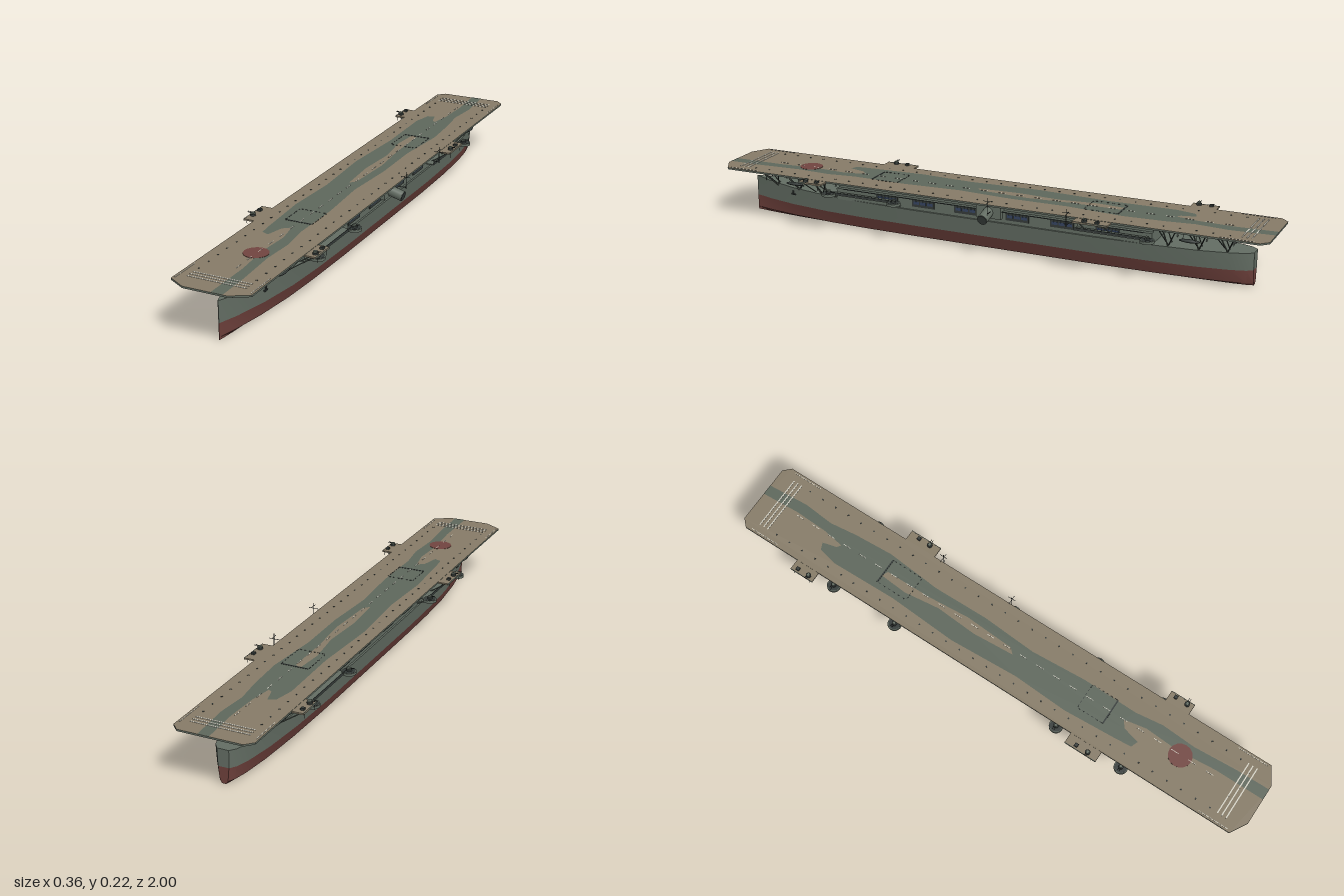
import * as THREE from 'three';
import { toCreasedNormals } from 'three/addons/utils/BufferGeometryUtils.js';

const mat = (name, color, side = THREE.FrontSide) => {
  const m = new THREE.MeshStandardMaterial({ color, side });
  m.name = name;
  return m;
};

export function createModel() {
  const root = new THREE.Group();
  root.name = 'flatDeckShip';
  const steel = mat('greenGreySteel', 0x626c62);
  const red = mat('hullRed', 0x6d403b);
  const tan = mat('deckTan', 0x857a66);
  const green = mat('deckGreen', 0x5d665b);
  const dark = mat('darkMetal', 0x343a38);
  const glass = mat('windowBlue', 0x34435f);
  const white = mat('markingWhite', 0xd2d0c4);
  const disc = mat('discRed', 0x70443f);

  const add = (name, geo, m, parent = root) => {
    const mesh = new THREE.Mesh(geo, m);
    mesh.name = name;
    parent.add(mesh);
    return mesh;
  };
  const box = (name, m, w, h, d, x, y, z, parent) => {
    const b = add(name, new THREE.BoxGeometry(w, h, d), m, parent);
    b.position.set(x, y, z);
    return b;
  };
  const rod = (name, m, a, b, r = 0.0016, sides = 6, parent = root) => {
    const p = new THREE.Vector3(...a), q = new THREE.Vector3(...b), d = q.clone().sub(p);
    const c = add(name, new THREE.CylinderGeometry(r, r, d.length(), sides), m, parent);
    c.position.copy(p).add(q).multiplyScalar(0.5);
    c.quaternion.setFromUnitVectors(new THREE.Vector3(0, 1, 0), d.normalize());
    return c;
  };
  const drum = (name, m, r, h, x, y, z, parent) => {
    const c = add(name, new THREE.CylinderGeometry(r, r, h, 16), m, parent);
    c.position.set(x, y, z);
    return c;
  };

  // Skin closed rings (counter-clockwise seen from +z), ordered from stern to bow
  const loft = (rings) => {
    const pos = [], n = rings[0].length;
    const tri = (...ps) => ps.forEach((p) => pos.push(...p));
    for (let i = 0; i < rings.length - 1; i++) {
      for (let j = 0; j < n; j++) {
        const k = (j + 1) % n, A = rings[i], B = rings[i + 1];
        tri(A[j], A[k], B[k]);
        tri(A[j], B[k], B[j]);
      }
    }
    for (let j = 1; j < n - 1; j++) {
      tri(rings[0][0], rings[0][j + 1], rings[0][j]);
      tri(rings.at(-1)[0], rings.at(-1)[j], rings.at(-1)[j + 1]);
    }
    const g = new THREE.BufferGeometry();
    g.setAttribute('position', new THREE.Float32BufferAttribute(pos, 3));
    return toCreasedNormals(g, 0.4);
  };

  // Hull: [z, half beam, deck height]
  const stations = [
    [-0.93, 0.02, 0.114], [-0.91, 0.036, 0.114], [-0.86, 0.052, 0.114], [-0.76, 0.069, 0.113],
    [-0.6, 0.082, 0.113], [-0.4, 0.088, 0.113], [0.25, 0.088, 0.113], [0.45, 0.084, 0.114],
    [0.6, 0.075, 0.116], [0.75, 0.053, 0.119], [0.86, 0.026, 0.124], [0.93, 0.001, 0.128],
  ];
  const section = (z, w, rows) => [
    ...rows.map(([f, y]) => [w * f, y, z]),
    ...rows.slice().reverse().map(([f, y]) => [-w * f, y, z]),
  ];
  const hull = new THREE.Group();
  hull.name = 'hull';
  root.add(hull);
  add('lowerHull', loft(stations.map(([z, w]) =>
    section(z, w, [[0.33, 0], [0.68, 0.01], [0.91, 0.055]]))), red, hull);
  add('upperHull', loft(stations.map(([z, w, t]) =>
    section(z, w, [[0.91, 0.055], [1, t]]))), steel, hull);
  for (const s of [-1, 1]) {
    rod('anchorShank', dark, [s * 0.055, 0.108, 0.745], [s * 0.055, 0.093, 0.745], 0.003, 6, hull);
    box('anchorFlukes', dark, 0.006, 0.004, 0.016, s * 0.054, 0.095, 0.745, hull);
  }

  // Hangar with end windows and side openings
  const hangar = new THREE.Group();
  hangar.name = 'hangar';
  root.add(hangar);
  box('hangarLower', steel, 0.163, 0.04, 1.16, 0, 0.131, -0.03, hangar);
  box('hangarUpper', steel, 0.134, 0.035, 1.16, 0, 0.1665, -0.03, hangar);
  add('deckFlare', loft([-0.6, 0.54].map((z) => section(z, 1, [[0.068, 0.162], [0.116, 0.183]]))), steel, hangar);
  for (const x of [-0.046, 0.046]) box('frontFrameSide', dark, 0.0015, 0.036, 0.003, x, 0.154, 0.551, hangar);
  for (const y of [0.136, 0.172]) box('frontFrameEdge', dark, 0.092, 0.0015, 0.003, 0, y, 0.551, hangar);
  for (const y of [0.147, 0.165])
    for (let i = 0; i < 8; i++)
      box('frontWindow', glass, 0.007, 0.006, 0.004, -0.0365 + i * 0.0104, y, 0.551, hangar);
  for (const s of [-1, 1]) {
    for (const z of [0.35, 0.21, 0.05, -0.14, -0.3, -0.46]) {
      box('sideOpening', dark, 0.004, 0.024, 0.084, s * 0.082, 0.137, z, hangar);
      for (let i = -1; i <= 1; i++)
        box('sidePane', glass, 0.006, 0.01, 0.021, s * 0.082, 0.139, z + i * 0.026, hangar);
    }
    box('sideLedge', dark, 0.006, 0.002, 1.1, s * 0.083, 0.151, -0.03, hangar);
  }

  // Flight deck and painted markings
  const deck = new THREE.Group();
  deck.name = 'flightDeck';
  root.add(deck);
  const outline = (pts) => pts.map(([x, z]) => new THREE.Vector2(x, -z));
  const deckGeo = new THREE.ExtrudeGeometry(new THREE.Shape(outline([
    [-0.135, 0.965], [-0.075, 1], [0.075, 1], [0.135, 0.965],
    [0.135, -0.975], [0.11, -1], [-0.11, -1], [-0.135, -0.975],
  ])), { depth: 0.006, bevelEnabled: false }).rotateX(-Math.PI / 2);
  add('deckPlate', deckGeo, [tan, steel], deck).position.y = 0.182;

  const camo = new THREE.Shape(outline([
    [0.02, 1], [0.06, 1], [0.058, 0.88], [0.048, 0.72], [0.055, 0.6], [0.042, 0.5], [0.045, 0.3],
    [0.032, 0.1], [0.045, -0.1], [0.042, -0.3], [0.06, -0.5], [0.052, -0.64], [0.04, -0.74],
    [0.05, -0.85], [0.04, -1], [0.002, -1], [0.01, -0.86], [0.005, -0.74], [-0.008, -0.66],
    [-0.022, -0.67], [-0.035, -0.72], [-0.06, -0.71], [-0.075, -0.64], [-0.07, -0.4], [-0.085, -0.15],
    [-0.072, 0.1], [-0.082, 0.3], [-0.07, 0.5], [-0.065, 0.55], [-0.04, 0.56], [-0.025, 0.5],
    [0.0, 0.48], [0.015, 0.56], [0.008, 0.68], [0.02, 0.82],
  ]));
  camo.holes.push(new THREE.Path(outline([
    [-0.022, -0.48], [0.0, -0.47], [0.002, -0.3], [0.014, -0.15], [0.004, 0.03],
    [-0.014, 0.05], [-0.024, -0.1], [-0.014, -0.25], [-0.03, -0.38],
  ])));
  add('camouflage', new THREE.ShapeGeometry(camo).rotateX(-Math.PI / 2), green, deck).position.y = 0.1886;
  drum('deckDisc', disc, 0.041, 0.001, -0.002, 0.1888, 0.7, deck);
  for (const z of [-0.94, -0.924, -0.908, 0.9, 0.916, 0.932])
    box('endStripe', white, 0.2, 0.001, 0.004, 0, 0.189, z, deck);
  for (let i = 0; i < 26; i++)
    box('centreDash', white, 0.002, 0.001, 0.028, 0, 0.1889, -0.84 + i * 0.066, deck);
  for (const s of [-1, 1]) {
    for (const z of [-0.9, 0.9]) box('edgeLine', white, 0.002, 0.001, 0.11, s * 0.127, 0.1885, z, deck);
    for (let i = 0; i < 33; i++)
      box('tieDown', dark, 0.005, 0.001, 0.005, s * 0.098, 0.1885, -0.87 + i * 0.0544, deck);
  }
  // Lift outlines
  for (const [z0, z1] of [[-0.48, -0.36], [0.43, 0.33]]) {
    box('liftEdge', dark, 0.095, 0.001, 0.005, -0.002, 0.1892, z0, deck);
    for (let i = 0; i < 6; i++) {
      box('liftDash', dark, 0.008, 0.001, 0.002, -0.042 + i * 0.016, 0.1892, z1, deck);
      for (const x of [-0.05, 0.046])
        box('liftDash', dark, 0.002, 0.001, 0.009, x, 0.1892, z0 + (z1 - z0) * (i + 0.5) / 6, deck);
    }
  }

  // Deck supports at both ends
  const trestles = new THREE.Group();
  trestles.name = 'deckSupports';
  root.add(trestles);
  for (const [z, w] of [[0.82, 0.032], [0.72, 0.052], [0.62, 0.066], [-0.66, 0.07], [-0.76, 0.062], [-0.85, 0.046]]) {
    box('crossBeam', steel, 0.24, 0.006, 0.008, 0, 0.179, z, trestles);
    for (const s of [-1, 1]) {
      rod('outerStrut', steel, [s * w, 0.113, z], [s * 0.125, 0.182, z], 0.0026, 6, trestles);
      rod('innerStrut', steel, [s * w * 0.4, 0.113, z], [s * 0.085, 0.182, z], 0.0022, 6, trestles);
      for (const d of [-0.035, 0.035])
        rod('rakedStrut', dark, [s * w * 0.9, 0.113, z], [s * 0.09, 0.182, z + d], 0.002, 6, trestles);
    }
  }
  for (const s of [-1, 1]) box('longBeam', steel, 0.005, 0.006, 1.9, s * 0.085, 0.179, 0, trestles);

  // Anti-aircraft gun with paired barrels pointing outboard
  const gun = (s, x, y, z) => {
    const g = new THREE.Group();
    g.name = 'deckGun';
    g.position.set(x, y, z);
    root.add(g);
    drum('gunBase', dark, 0.009, 0.006, 0, 0.003, 0, g);
    box('gunMount', steel, 0.012, 0.006, 0.01, 0, 0.008, 0, g);
    for (const d of [-0.003, 0.003])
      rod('gunBarrel', dark, [0, 0.008, d], [s * 0.018, 0.011, d], 0.001, 6, g);
  };

  // Deck-level outboard platforms
  for (const [s, z, len] of [[-1, -0.71, 0.09], [-1, 0.42, 0.12], [1, -0.43, 0.12], [1, 0.605, 0.09]]) {
    box('gunPlatform', tan, 0.042, 0.005, len, s * 0.153, 0.1845, z);
    box('platformRail', steel, 0.002, 0.006, len, s * 0.173, 0.1845, z);
    gun(s, s * 0.161, 0.187, z + 0.022);
    box('ammoLocker', dark, 0.012, 0.008, 0.012, s * 0.161, 0.19, z - 0.022);
    for (const d of [-0.35, 0.35]) {
      rod('platformBrace', steel, [s * 0.078, 0.125, z + d * len], [s * 0.165, 0.183, z + d * len], 0.002);
      rod('platformDrop', dark, [s * 0.172, 0.164, z + d * len], [s * 0.172, 0.184, z + d * len], 0.0008);
    }
  }

  // Lower gun tubs and the walkways joining them
  for (const s of [-1, 1]) {
    for (const z of [-0.61, -0.355, 0.3, 0.555]) {
      if (s > 0 && z === -0.355) continue;
      drum('gunTub', steel, 0.024, 0.009, s * 0.13, 0.141, z);
      drum('tubFloor', dark, 0.021, 0.01, s * 0.13, 0.1412, z);
      gun(s, s * 0.13, 0.146, z);
      rod('tubBrace', steel, [s * 0.08, 0.12, z], [s * 0.128, 0.138, z], 0.003);
    }
    for (const z of [-0.48, 0.43]) {
      box('walkway', steel, 0.03, 0.003, 0.25, s * 0.105, 0.139, z);
      box('walkwayRail', dark, 0.0015, 0.008, 0.25, s * 0.12, 0.144, z);
    }
    // Ship's boats slung under the deck ends
    for (const z of [0.71, -0.74]) {
      const boat = add('boat', new THREE.SphereGeometry(1, 10, 8), dark);
      boat.scale.set(0.009, 0.006, 0.036);
      boat.position.set(s * 0.098, 0.15, z);
      for (const d of [-0.022, 0.022])
        rod('boatSling', dark, [s * 0.098, 0.15, z + d], [s * 0.098, 0.182, z + d], 0.0008);
    }
  }

  // Downturned funnel on the left side
  rod('funnel', steel, [0.066, 0.157, -0.04], [0.145, 0.135, -0.04], 0.018, 16);
  rod('funnelMouth', dark, [0.14, 0.1364, -0.04], [0.1465, 0.1346, -0.04], 0.0165, 16);
  box('funnelCasing', steel, 0.03, 0.045, 0.09, 0.082, 0.15, -0.04);

  // Radio masts with crossed yards
  for (const z of [-0.34, -0.06]) {
    rod('mast', dark, [0.147, 0.156, z], [0.147, 0.216, z], 0.0013);
    rod('mastYard', dark, [0.128, 0.197, z], [0.163, 0.197, z], 0.0009);
    rod('mastCrossYard', dark, [0.147, 0.204, z - 0.014], [0.147, 0.204, z + 0.014], 0.0009);
    rod('mastBracket', dark, [0.12, 0.16, z], [0.147, 0.16, z], 0.0012);
  }
  for (const s of [-1, 1]) rod('bowPost', dark, [s * 0.02, 0.12, 0.88], [s * 0.02, 0.183, 0.88], 0.0016);

  return root;
}
